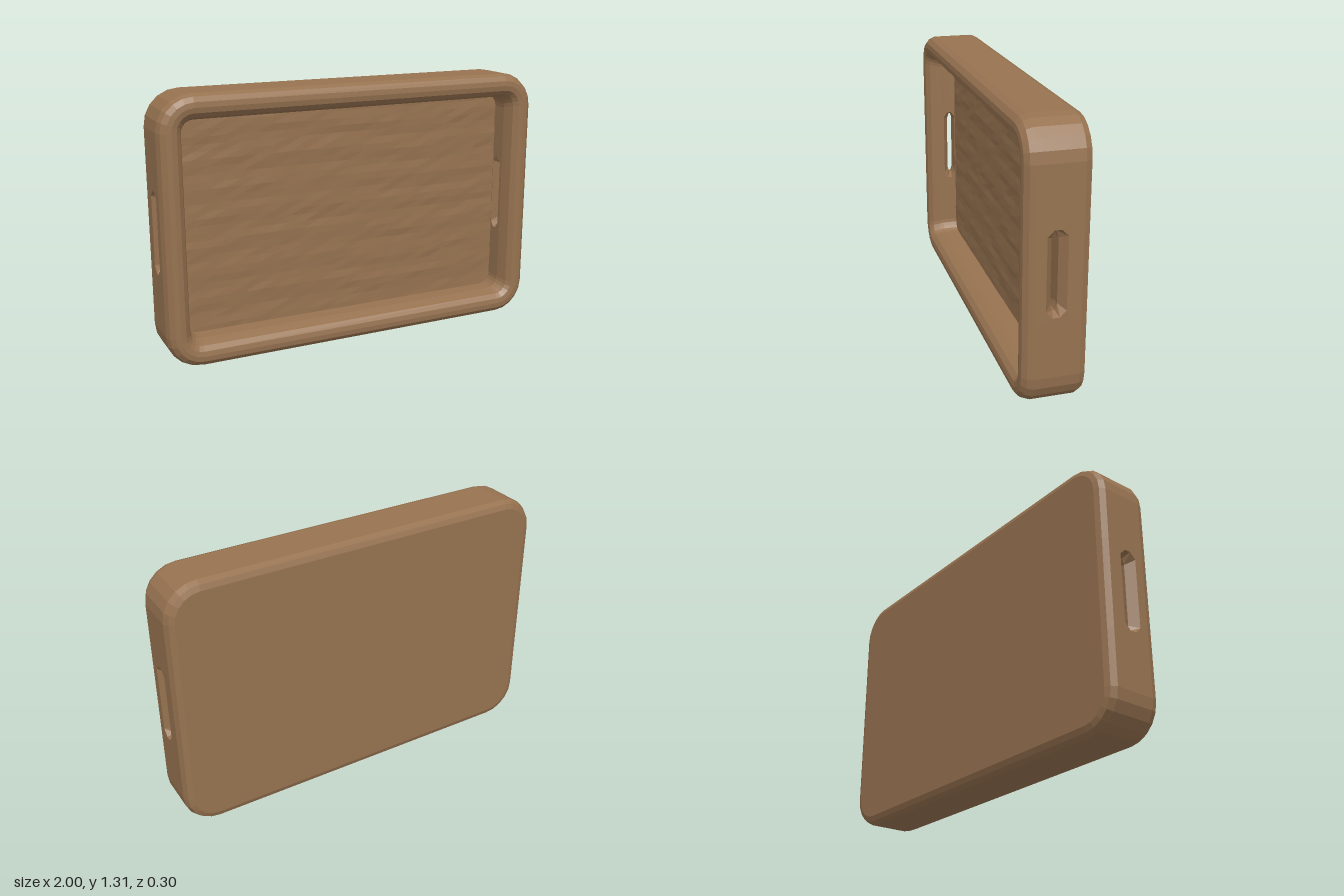
import * as THREE from 'three';

const MID_Y = 0.655, HALF_X = 1, HALF_Y = 0.655, RADIUS = 0.17;
const SLOT_Y = 0.22, FLOOR_Z = -0.012;

// Skin a list of equally long closed rings; skipped columns stay open
function loft(rings, { skip = [], flip = false, capStart = false } = {}) {
  const n = rings[0].length, pos = rings.flat(2), idx = [];
  const tri = (a, b, c) => (flip ? idx.push(a, c, b) : idx.push(a, b, c));
  for (let i = 0; i < rings.length - 1; i++) {
    for (let j = 0; j < n; j++) {
      if (skip.some(([row, col]) => row === i && col === j)) continue;
      const k = (j + 1) % n;
      tri(i * n + j, i * n + k, (i + 1) * n + k);
      tri(i * n + j, (i + 1) * n + k, (i + 1) * n + j);
    }
  }
  if (capStart) {
    pos.push(0, 0, rings[0][0][2]);
    for (let j = 0; j < n; j++) tri(pos.length / 3 - 1, (j + 1) % n, j);
  }
  const geo = new THREE.BufferGeometry();
  geo.setAttribute('position', new THREE.Float32BufferAttribute(pos, 3));
  geo.setIndex(idx);
  geo.computeVertexNormals();
  return geo;
}

// Rounded rectangle ring, with extra points on both short sides for the slots
function trayRing(inset, z) {
  const hx = HALF_X - inset, hy = HALF_Y - inset;
  const r = Math.max(RADIUS - inset, 0.06), pts = [];
  [[1, 1], [-1, 1], [-1, -1], [1, -1]].forEach(([sx, sy], q) => {
    for (let s = 0; s <= 5; s++) {
      const a = (q + s / 5) * Math.PI / 2;
      pts.push([sx * (hx - r) + r * Math.cos(a), sy * (hy - r) + r * Math.sin(a), z]);
    }
    if (q === 1) pts.push([-hx, SLOT_Y, z], [-hx, -SLOT_Y, z]);
    if (q === 3) pts.push([hx, -SLOT_Y, z], [hx, SLOT_Y, z]);
  });
  return pts;
}

// Eight-point ring for the slot; cut 0 gives a plain rectangle
function slotRing(x, hy, z0, z1, cut) {
  const zc = (z0 + z1) / 2, hz = (z1 - z0) / 2;
  const a = cut ? 0.35 : 1, b = 1 - cut / hy;
  return [[1, a], [b, 1], [-b, 1], [-1, a], [-1, -a], [-b, -1], [b, -1], [1, -a]]
    .map(([u, v]) => [x, u * hy, zc + v * hz]);
}

export function createModel() {
  const group = new THREE.Group();
  const wood = new THREE.MeshStandardMaterial({ color: 0x967250, flatShading: true });
  wood.name = 'brown wood';
  const add = (name, geo) => {
    const mesh = new THREE.Mesh(geo, wood);
    mesh.name = name;
    mesh.position.y = MID_Y;
    group.add(mesh);
  };

  // Tray body: back, outer wall, rounded rim, inner wall
  const profile = [
    [0.04, -0.148], [0.014, -0.138], [0, -0.11], [0, -0.055], [0, 0.065], [0, 0.095],
    [0.012, 0.125], [0.035, 0.145], [0.06, 0.148], [0.085, 0.143], [0.107, 0.122],
    [0.118, 0.09], [0.125, 0.065], [0.125, -0.03],
  ];
  const openings = [[3, 12], [3, 26], [12, 12], [12, 26]];
  add('trayBody', loft(profile.map(([d, z]) => trayRing(d, z)), { skip: openings, capStart: true }));

  // Handle slots through both short walls, flared outwards
  for (const side of [1, -1]) {
    const rings = [
      slotRing(1, SLOT_Y, -0.055, 0.065, 0),
      slotRing(1, 0.2, -0.042, 0.05, 0.03),
      slotRing(0.96, 0.182, FLOOR_Z, 0.018, 0.03),
      slotRing(0.92, 0.182, FLOOR_Z, 0.022, 0.03),
      slotRing(0.875, 0.2, FLOOR_Z, 0.05, 0.03),
      slotRing(0.875, SLOT_Y, -0.03, 0.065, 0),
    ].map((ring) => ring.map(([x, y, z]) => [side * x, y, z]));
    add(side > 0 ? 'leftHandleSlot' : 'rightHandleSlot', loft(rings, { flip: side < 0 }));
  }

  // Hand-hewn floor with shallow tool marks running lengthwise
  const floor = new THREE.PlaneGeometry(1.77, 1.08, 22, 30);
  const p = floor.attributes.position;
  let seed = 7;
  const random = () => (seed = (seed * 16807) % 2147483647) / 2147483647;
  for (let i = 0; i < p.count; i++) {
    const wave = Math.sin(p.getY(i) * 45 + Math.sin(p.getX(i) * 4));
    p.setZ(i, FLOOR_Z - 0.003 + 0.0015 * wave + 0.003 * (random() - 0.5));
  }
  floor.computeVertexNormals();
  add('trayFloor', floor);

  return group;
}
